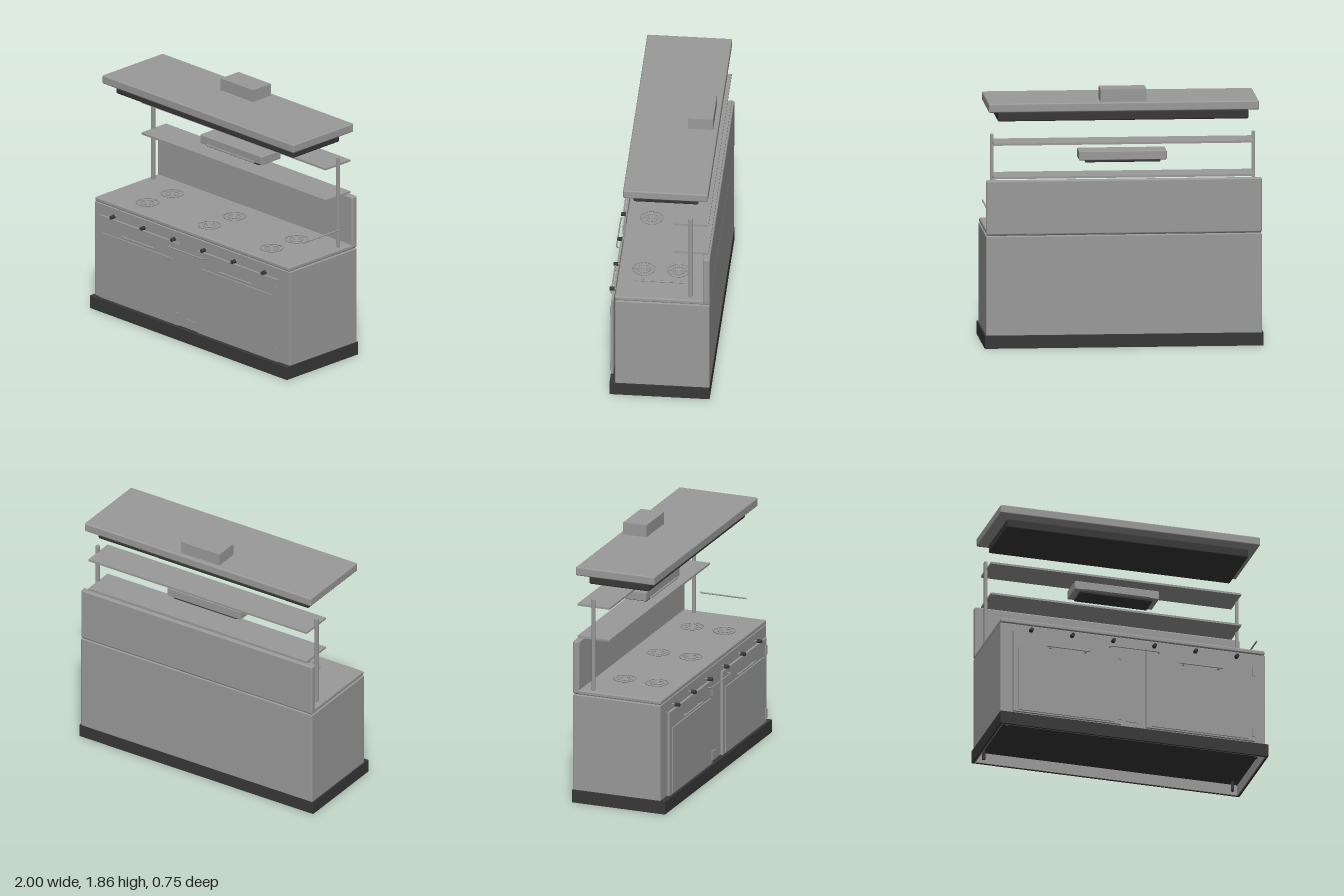
import * as THREE from 'three';
import { RoundedBoxGeometry } from 'three/addons/geometries/RoundedBoxGeometry.js';

export function createModel() {
  const model = new THREE.Group();
  model.name = 'kitchenRange';

  const steel = new THREE.MeshStandardMaterial({ color: 0x9a9a9a });
  steel.name = 'steel';
  const dark = new THREE.MeshStandardMaterial({ color: 0x383838 });
  dark.name = 'dark';

  const add = (name, geometry, material, parent = model) => {
    const mesh = new THREE.Mesh(geometry, material);
    mesh.name = name;
    parent.add(mesh);
    return mesh;
  };
  // Box given by its extents; a radius rounds the edges
  const block = (name, [x0, x1], [y0, y1], [z0, z1], material, radius = 0, parent = model) => {
    const size = [x1 - x0, y1 - y0, z1 - z0];
    const geometry = radius
      ? new RoundedBoxGeometry(...size, 2, radius)
      : new THREE.BoxGeometry(...size);
    const mesh = add(name, geometry, material, parent);
    mesh.position.set((x0 + x1) / 2, (y0 + y1) / 2, (z0 + z1) / 2);
    return mesh;
  };
  const rod = (name, points, radius, material, parent = model) => {
    const path = new THREE.CurvePath();
    const v = points.map((p) => new THREE.Vector3(...p));
    for (let i = 1; i < v.length; i++) path.add(new THREE.LineCurve3(v[i - 1], v[i]));
    return add(name, new THREE.TubeGeometry(path, (v.length - 1) * 8, radius, 8), material, parent);
  };

  // Plinth: dark frame, steel lining, recessed floor and small feet
  block('plinthFront', [-1, 1], [0, 0.095], [0.33, 0.345], dark);
  block('plinthBack', [-1, 1], [0, 0.095], [-0.375, -0.36], dark);
  block('plinthTop', [-0.995, 0.995], [0.08, 0.095], [-0.37, 0.34], dark);
  block('liningFront', [-0.98, 0.98], [0, 0.08], [0.322, 0.33], steel);
  block('liningBack', [-0.98, 0.98], [0, 0.08], [-0.36, -0.352], steel);
  for (const s of [-1, 1]) {
    const side = (a, b) => [Math.min(s * a, s * b), Math.max(s * a, s * b)];
    block('plinthSide', side(0.985, 1), [0, 0.095], [-0.36, 0.33], dark);
    block('liningSide', side(0.977, 0.985), [0, 0.08], [-0.36, 0.33], steel);
    for (const z of [-0.31, 0.27]) {
      add('foot', new THREE.CylinderGeometry(0.012, 0.012, 0.07, 12), dark).position.set(s * 0.93, 0.045, z);
    }
  }

  // Cabinet, worktop and splashback
  block('cabinet', [-0.99, 0.99], [0.09, 0.812], [-0.373, 0.305], steel, 0.006);
  block('worktop', [-0.985, 0.985], [0.815, 0.848], [-0.37, 0.308], steel, 0.01);
  block('splashback', [-0.99, 0.99], [0.82, 1.215], [-0.375, -0.325], steel, 0.012);

  // Oven doors with raised panels, handles and hinges
  for (const [x0, x1] of [[-0.905, -0.1], [0.09, 0.9]]) {
    const door = new THREE.Group();
    door.name = 'ovenDoor';
    model.add(door);
    block('doorFrame', [x0, x1], [0.11, 0.74], [0.325, 0.342], steel, 0, door);
    block('doorPanel', [x0 + 0.04, x1 - 0.05], [0.12, 0.615], [0.342, 0.351], steel, 0, door);
    const c = x0 < 0 ? -0.498 : 0.495;
    block('handleBar', [c - 0.162, c + 0.162], [0.638, 0.652], [0.358, 0.368], steel, 0.003, door);
    for (const dx of [-0.13, 0.13]) {
      block('handleStandoff', [c + dx - 0.006, c + dx + 0.006], [0.632, 0.645], [0.342, 0.362], steel, 0, door);
    }
    for (const y of [0.14, 0.62]) {
      block('hinge', [x1 - 0.02, x1], [y, y + 0.07], [0.342, 0.35], steel, 0, door);
    }
  }
  block('serialPlate', [-0.05, 0.04], [0.15, 0.166], [0.305, 0.312], steel);

  // Control knobs on short stems
  for (let i = 0; i < 6; i++) {
    const x = -0.77 + i * 0.307;
    const stem = add('knobStem', new THREE.CylinderGeometry(0.005, 0.005, 0.04, 12), steel);
    stem.rotation.x = Math.PI / 2;
    stem.position.set(x, 0.76, 0.32);
    const knob = add('knob', new THREE.CylinderGeometry(0.013, 0.015, 0.034, 20), dark);
    knob.rotation.x = Math.PI / 2;
    knob.position.set(x, 0.76, 0.347);
  }

  // Towel rails at the front and beside the worktop
  rod('towelRail', [[-0.185, 0.705, 0.34], [-0.185, 0.705, 0.368], [0.18, 0.705, 0.368], [0.18, 0.705, 0.34]], 0.005, steel);
  rod('sideRail', [[0.972, 0.993, -0.2], [0.972, 0.993, 0.16]], 0.006, steel);

  // Burners with round grates
  for (const x of [-0.63, 0, 0.63]) {
    for (const z of [0.13, -0.12]) {
      const burner = new THREE.Group();
      burner.name = 'burner';
      burner.position.set(x, 0.856, z);
      model.add(burner);
      for (const r of [0.079, 0.045]) {
        add('grateRing', new THREE.TorusGeometry(r, 0.006, 8, 32), steel, burner).rotation.x = Math.PI / 2;
      }
      for (let k = 0; k < 4; k++) {
        const bar = add('grateBar', new THREE.BoxGeometry(0.06, 0.01, 0.008), steel, burner);
        const a = (k * Math.PI) / 2;
        bar.rotation.y = -a;
        bar.position.set(Math.cos(a) * 0.05, 0, Math.sin(a) * 0.05);
      }
      add('burnerCap', new THREE.CylinderGeometry(0.02, 0.024, 0.012, 20), steel, burner);
    }
  }

  // Posts and shelves
  for (const x of [-0.938, 0.938]) {
    block('shelfPost', [x - 0.0125, x + 0.0125], [0.845, 1.535], [-0.245, -0.22], steel, 0.006);
  }
  for (const y of [1.225, 1.467]) {
    block('shelf', [-0.935, 0.935], [y, y + 0.015], [-0.36, -0.11], steel);
  }

  // Overhead grill with heating plate and handle
  block('grillBody', [-0.315, 0.315], [1.34, 1.405], [-0.275, -0.085], steel, 0.006);
  block('grillHeater', [-0.27, 0.27], [1.323, 1.342], [-0.26, -0.1], dark, 0.004);
  block('grillHandle', [-0.24, 0.24], [1.341, 1.35], [-0.086, -0.072], steel);

  // Extractor hood
  block('hoodCanopy', [-0.97, 0.97], [1.705, 1.77], [-0.36, 0.25], steel, 0.01);
  block('hoodFilter', [-0.9, 0.9], [1.63, 1.698], [-0.285, 0.18], dark, 0.01);
  block('hoodDuct', [-0.165, 0.165], [1.765, 1.86], [-0.325, -0.145], steel);

  return model;
}
